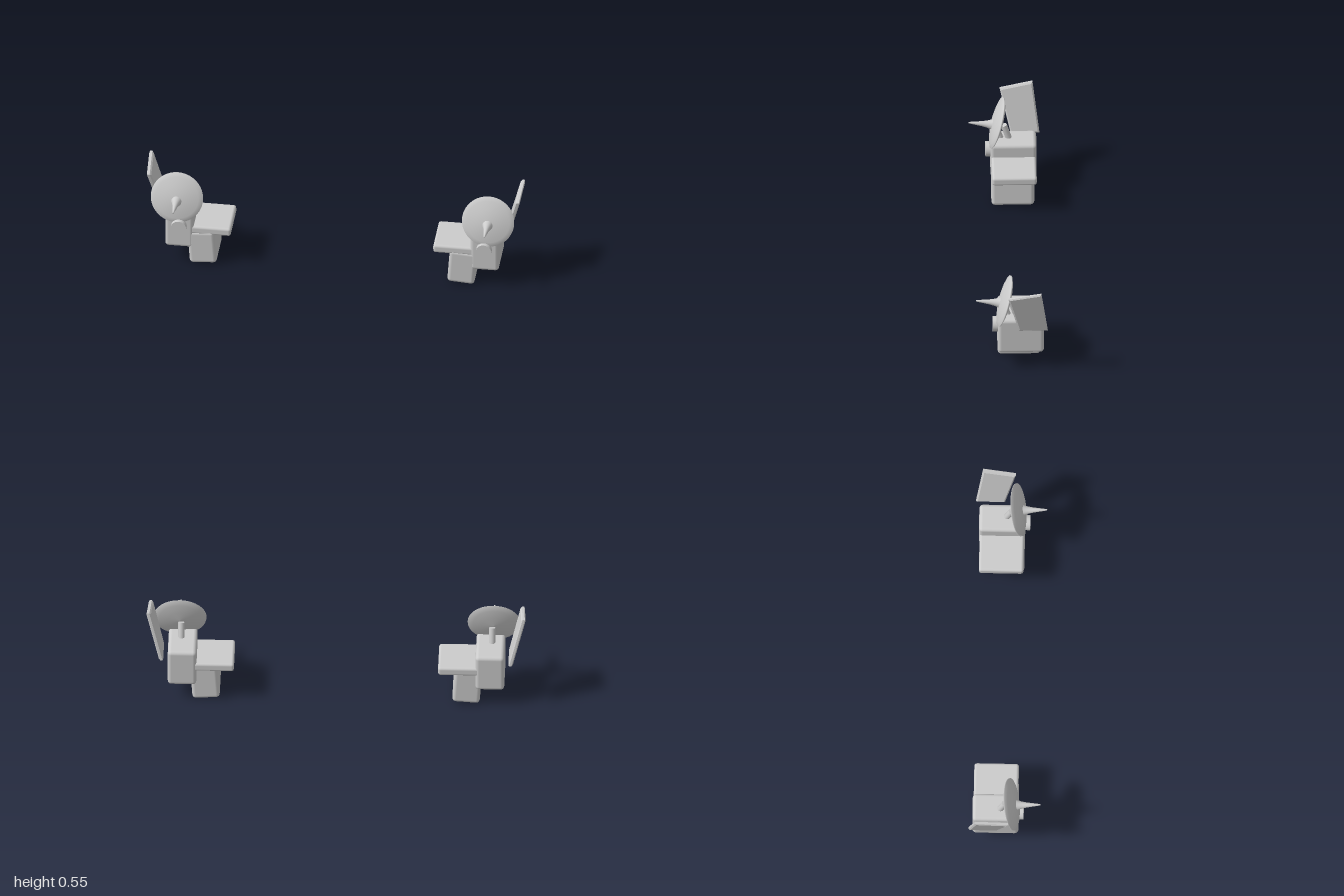
import * as THREE from 'three';
import { RoundedBoxGeometry } from 'three/addons/geometries/RoundedBoxGeometry.js';

const grey = new THREE.MeshStandardMaterial({ color: 0xcccccc });
grey.name = 'plainGrey';

function part(parent, name, geometry, x, y, z) {
  const mesh = new THREE.Mesh(geometry, grey);
  mesh.name = name;
  mesh.position.set(x, y, z);
  parent.add(mesh);
  return mesh;
}

// Cylinder between two heights/depths at a fixed x
function strut(parent, name, x, radius, y0, z0, y1, z1) {
  const length = Math.hypot(y1 - y0, z1 - z0);
  const mesh = part(parent, name, new THREE.CylinderGeometry(radius, radius, length, 16), x, (y0 + y1) / 2, (z0 + z1) / 2);
  mesh.rotation.x = Math.atan2(z1 - z0, y1 - y0);
  return mesh;
}

// Tapered bevelled slab, leaning outwards as it rises
function panelGeometry(side) {
  const b = 0.008;
  const outline = [[0.012, 0.506], [-0.145, 0.537], [-0.178, 0.278], [-0.041, 0.278]];
  const shape = new THREE.Shape(outline.map(([z, y]) => new THREE.Vector2(z, y)));
  const geometry = new THREE.ExtrudeGeometry(shape, {
    depth: 0.012, bevelEnabled: true, bevelThickness: 0.006, bevelSize: b, bevelSegments: 1,
  });
  geometry.translate(0, 0, -0.006).rotateY(-Math.PI / 2);
  const p = geometry.attributes.position;
  for (let i = 0; i < p.count; i++) {
    p.setX(i, p.getX(i) + side * (0.918 + (p.getY(i) - 0.27) * 0.255));
  }
  geometry.computeVertexNormals();
  return geometry;
}

function buildUnit(side) {
  const unit = new THREE.Group();
  unit.name = side > 0 ? 'leftUnit' : 'rightUnit';

  // Blocks
  part(unit, 'bodyBlock', new RoundedBoxGeometry(0.152, 0.21, 0.243, 2, 0.02), side * 0.81, 0.204, -0.047);
  part(unit, 'sidePlate', new RoundedBoxGeometry(0.24, 0.048, 0.235, 2, 0.014), side * 0.657, 0.211, -0.047);
  const lower = part(unit, 'lowerBlock', new RoundedBoxGeometry(0.145, 0.2, 0.226, 2, 0.02), side * 0.69, 0.104, -0.04);
  lower.rotation.z = side * -0.07;

  // Round front knob
  part(unit, 'frontKnob', new THREE.CylinderGeometry(0.041, 0.041, 0.05, 24), side * 0.81, 0.24, 0.076)
    .rotation.x = Math.PI / 2;

  // Dish on its supports
  const profile = [[0, -0.026], [0.06, -0.021], [0.11, -0.012], [0.138, -0.003], [0.139, 0.003],
    [0.115, 0.011], [0.07, 0.021], [0.03, 0.026], [0, 0.027]];
  const dish = part(unit, 'dish', new THREE.LatheGeometry(profile.map(([r, h]) => new THREE.Vector2(r, h)), 40),
    side * 0.826, 0.394, 0.038);
  dish.rotation.x = Math.PI / 2 - 0.29;
  strut(unit, 'dishPost', side * 0.818, 0.017, 0.28, -0.03, 0.385, 0.003);
  strut(unit, 'dishBrace', side * 0.818, 0.012, 0.29, 0.012, 0.36, 0.035);

  // Flared spike at the dish centre
  const flare = [[0.034, 0], [0.027, 0.014], [0.02, 0.034], [0.014, 0.062], [0.004, 0.135], [0, 0.137]];
  const spike = part(unit, 'dishSpike', new THREE.LatheGeometry(flare.map(([r, h]) => new THREE.Vector2(r, h)), 24),
    side * 0.826, 0.383, 0.054);
  spike.rotation.x = Math.PI / 2 - 0.11;

  // Outer leaning panel
  part(unit, 'outerPanel', panelGeometry(side), 0, 0, 0);
  return unit;
}

export function createModel() {
  const model = new THREE.Group();
  model.name = 'pairedDishUnits';
  for (const side of [1, -1]) model.add(buildUnit(side));
  return model;
}
